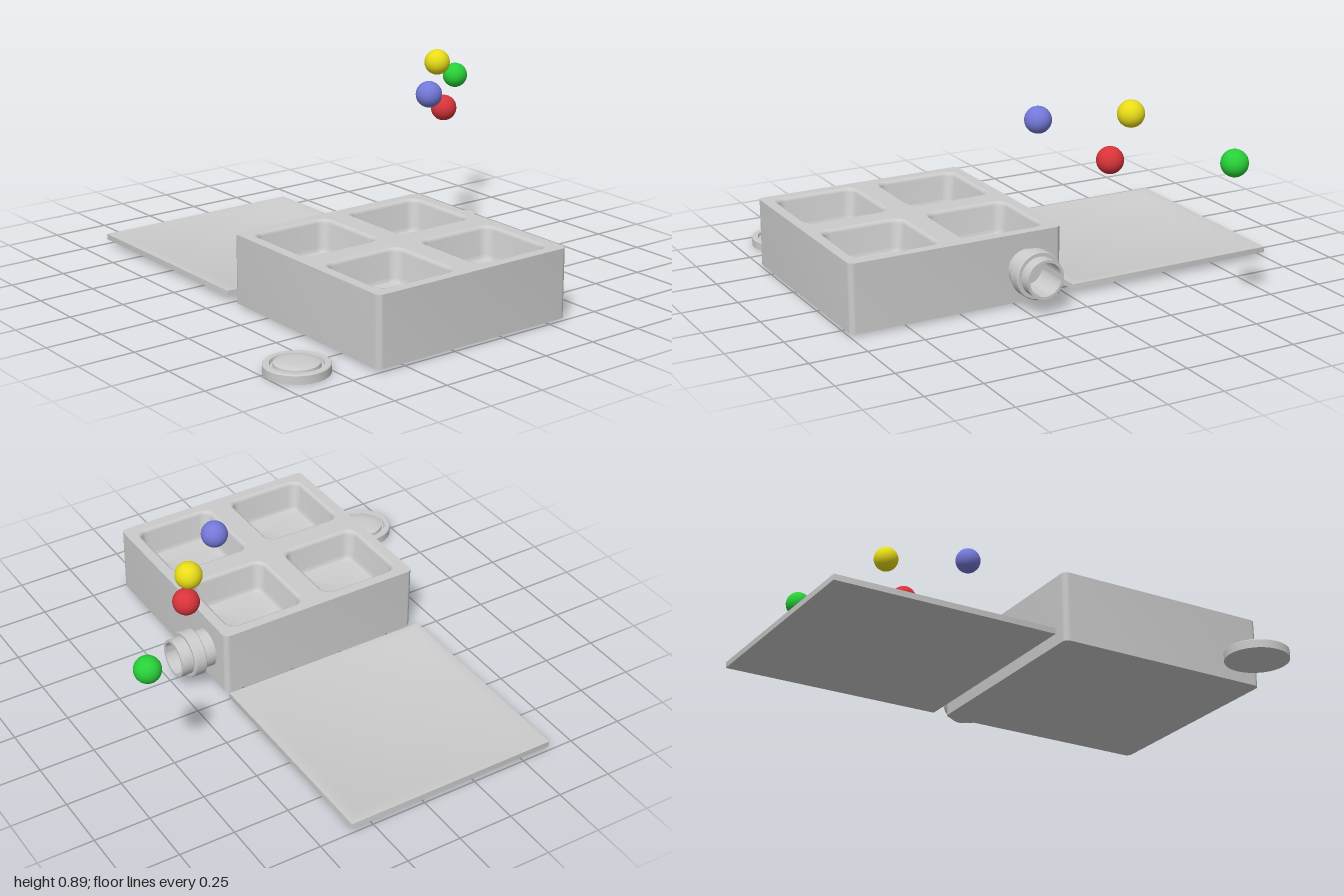
import * as THREE from 'three';
import { toCreasedNormals } from 'three/addons/utils/BufferGeometryUtils.js';

const grey = new THREE.MeshStandardMaterial({ color: 0xcccccc });
const TOP = 0.31, BASE = 0.01, HALF = 0.483, PITCH = 0.243, OPENING = 0.195;

// Corner points of a rounded square, as [x, z] pairs
function roundedSquare(half, radius, cx = 0, cz = 0, steps = 6) {
  const r = Math.min(radius, half), pts = [];
  for (let c = 0; c < 4; c++) {
    const mid = (c + 0.5) * Math.PI / 2;
    for (let s = 0; s <= steps; s++) {
      const a = (c + s / steps) * Math.PI / 2;
      pts.push([
        cx + Math.sign(Math.cos(mid)) * (half - r) + r * Math.cos(a),
        cz + Math.sign(Math.sin(mid)) * (half - r) + r * Math.sin(a),
      ]);
    }
  }
  return pts;
}

// Skin over rounded squares [half, radius, y]; a half of 0 closes the end
function skin(sections) {
  const pos = [], index = [];
  for (const [half, r, y] of sections) {
    for (const [x, z] of roundedSquare(half, r)) pos.push(x, y, z);
  }
  const n = pos.length / 3 / sections.length;
  for (let k = 0; k < sections.length - 1; k++) {
    for (let i = 0; i < n; i++) {
      const j = (i + 1) % n, a = k * n + i, b = k * n + j;
      if (sections[k][0] > 0) index.push(a, b, a + n);
      if (sections[k + 1][0] > 0) index.push(b, b + n, a + n);
    }
  }
  const g = new THREE.BufferGeometry();
  g.setAttribute('position', new THREE.Float32BufferAttribute(pos, 3));
  g.setIndex(index);
  return toCreasedNormals(g, 0.6);
}

function lathe(profile, segments = 48) {
  const pts = profile.map(([r, y]) => new THREE.Vector2(r, y));
  return toCreasedNormals(new THREE.LatheGeometry(pts, segments), 0.5);
}

function add(parent, name, geometry, x, y, z, material = grey) {
  const mesh = new THREE.Mesh(geometry, material);
  mesh.name = name;
  mesh.position.set(x, y, z);
  parent.add(mesh);
  return mesh;
}

function createTray() {
  const tray = new THREE.Group();
  tray.name = 'tray';

  // Outer walls and underside
  add(tray, 'trayWalls', skin([
    [HALF, 0.025, TOP], [HALF, 0.025, BASE], [0, 0, BASE],
  ]), 0, 0, 0);

  // Top face with four openings
  const toVectors = (pts) => pts.map(([x, z]) => new THREE.Vector2(x, -z));
  const face = new THREE.Shape(toVectors(roundedSquare(HALF, 0.025)));

  // Pocket: flat floor, floor fillet, drafted wall, softened lip
  const floor = TOP - 0.14;
  const pocket = skin([
    [0, 0, floor], [0.148, 0.03, floor], [0.157, 0.035, floor + 0.003],
    [0.164, 0.038, floor + 0.01], [0.167, 0.04, floor + 0.02],
    [0.181, 0.045, TOP - 0.016], [0.184, 0.047, TOP - 0.007],
    [0.189, 0.05, TOP - 0.002], [OPENING, 0.053, TOP],
  ]);
  for (const sx of [-1, 1]) {
    for (const sz of [-1, 1]) {
      const x = sx * PITCH, z = sz * PITCH;
      face.holes.push(new THREE.Path(toVectors(roundedSquare(OPENING, 0.053, x, z))));
      add(tray, 'pocket', pocket, x, 0, z);
    }
  }
  add(tray, 'trayTop', new THREE.ShapeGeometry(face).rotateX(-Math.PI / 2), 0, TOP, 0);
  tray.position.set(-0.145, 0, 0.515);
  return tray;
}

export function createModel() {
  const model = new THREE.Group();
  model.name = 'sortingTraySet';
  model.add(createTray());

  // Flat lid with a bevelled recess
  add(model, 'lid', skin([
    [0, 0, 0.034], [0.418, 0.001, 0.034], [0.453, 0.001, 0.047],
    [0.491, 0.001, 0.047], [0.491, 0.001, 0.022], [0, 0, 0.022],
  ]), -0.14, 0, -0.508);

  // Hollow spout with a collar on the side of the tray
  const spout = lathe([
    [0.085, 0], [0.085, 0.057], [0.1, 0.057], [0.104, 0.061], [0.104, 0.111],
    [0.1, 0.115], [0.085, 0.115], [0.085, 0.17], [0.073, 0.17], [0.073, 0.01], [0, 0.01],
  ]).rotateZ(-Math.PI / 2);
  add(model, 'spout', spout, 0.335, 0.155, 0.2);

  // Round push button set in a grooved ring
  add(model, 'pushButton', lathe([
    [0, 0], [0.133, 0], [0.133, 0.034], [0.129, 0.038], [0.107, 0.038],
    [0.103, 0.026], [0.094, 0.026], [0.092, 0.04], [0.085, 0.044], [0.045, 0.047], [0, 0.048],
  ]), -0.865, 0, 0.8);

  // Coloured balls hovering above
  const ball = new THREE.SphereGeometry(0.057, 32, 20);
  const balls = [
    ['blueBall', 0x7478d8, 0.32, 0.78, 0.135],
    ['yellowBall', 0xe8dc18, 0.593, 0.835, -0.14],
    ['redBall', 0xd8343a, 0.567, 0.645, -0.06],
    ['greenBall', 0x28d038, 0.932, 0.677, -0.415],
  ];
  for (const [name, color, x, y, z] of balls) {
    add(model, name, ball, x, y, z, new THREE.MeshStandardMaterial({ color }));
  }
  return model;
}
